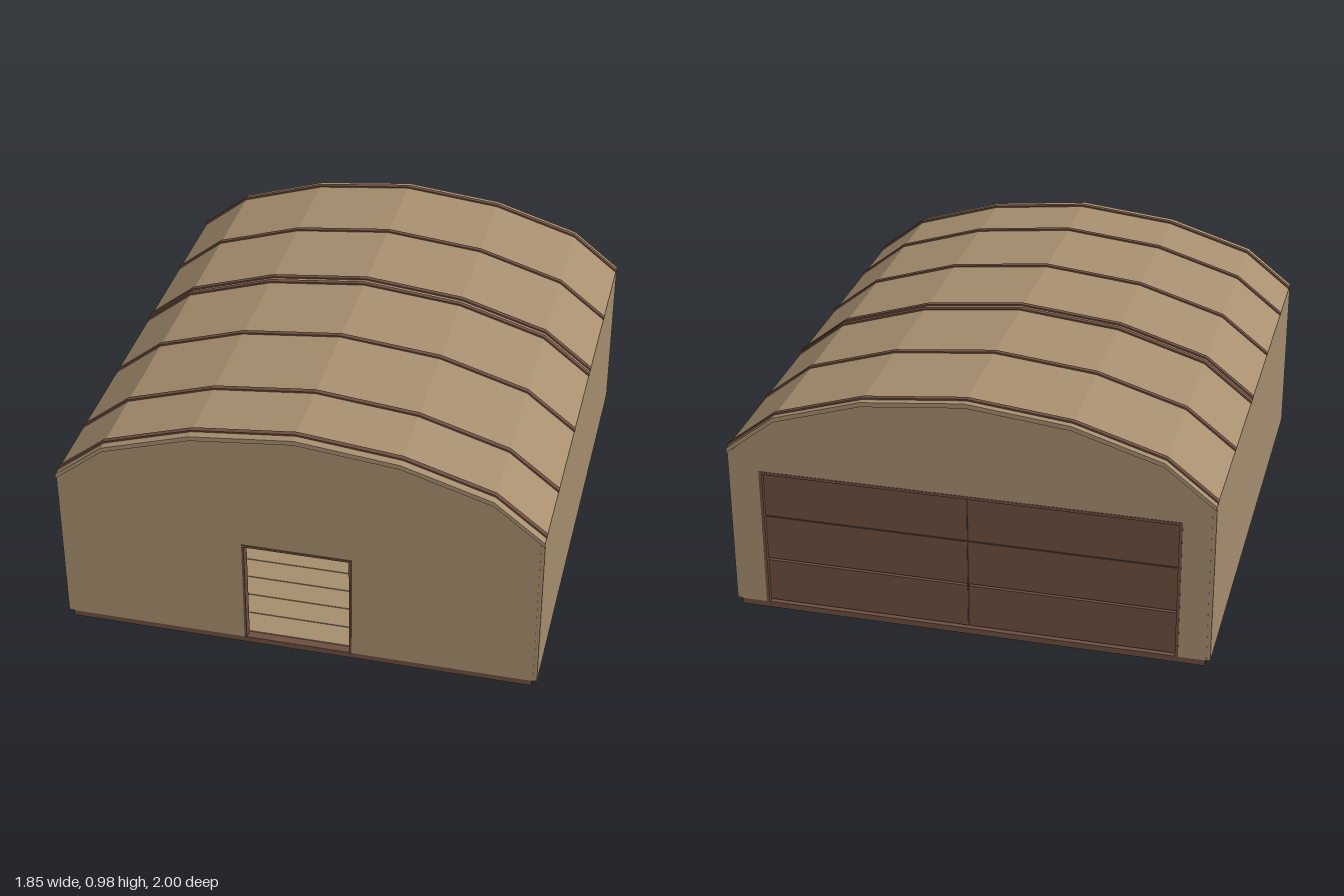
import * as THREE from 'three';

const mat = (name, color) => {
  const m = new THREE.MeshStandardMaterial({ color });
  m.name = name;
  return m;
};

// Right half of the roof curve, mirrored to give the whole arch
const half = [[0.92, 0.68], [0.73, 0.83], [0.39, 0.935], [0, 0.977]];
const arch = [...half, ...half.slice(0, 3).reverse().map(([x, y]) => [-x, y])];
const toShape = pts => new THREE.Shape(pts.map(([x, y]) => new THREE.Vector2(x, y)));

export function createModel() {
  const model = new THREE.Group();
  model.name = 'hangar';
  const tan = mat('tan cladding', 0xa89070);
  const brown = mat('brown', 0x6e4f40);
  const gold = mat('gold panel', 0xb0965f);
  const dark = mat('dark seam', 0x45342b);

  const add = (name, geo, material, x = 0, y = 0, z = 0, parent = model) => {
    const mesh = new THREE.Mesh(geo, material);
    mesh.name = name;
    mesh.position.set(x, y, z);
    parent.add(mesh);
    return mesh;
  };
  // Box given by its limits
  const box = (name, material, x0, x1, y0, y1, z0, z1, parent) =>
    add(name, new THREE.BoxGeometry(x1 - x0, y1 - y0, z1 - z0), material,
      (x0 + x1) / 2, (y0 + y1) / 2, (z0 + z1) / 2, parent);
  const extrude = (pts, depth) =>
    new THREE.ExtrudeGeometry(toShape(pts), { depth, bevelEnabled: false });
  // Arched band between two offsets of the roof curve
  const band = (out, inn, depth) => extrude([
    ...arch.map(([x, y]) => [x * (1 + out * 0.5), y + out]),
    ...arch.slice().reverse().map(([x, y]) => [x, y - inn]),
  ], depth);

  // Slab and planked floor
  box('foundation', brown, -0.9, 0.9, 0, 0.024, -0.99, 0.99);
  const floor = new THREE.Group();
  floor.name = 'floor';
  model.add(floor);
  const planks = 18, step = 1.92 / planks;
  for (let i = 0; i < planks; i++) {
    const z = -0.96 + i * step;
    box('floorPlank', tan, -0.9, 0.9, 0.022, 0.028, z, z + step - 0.004, floor);
  }

  // Side walls
  for (const s of [-1, 1])
    box('sideWall', tan, s * 0.91 - 0.01, s * 0.91 + 0.01, 0.025, 0.68, -0.99, 0.99);

  // End walls with a doorway cut up from the floor
  const endWall = (name, w, h, z) => add(name, extrude([
    [-0.905, 0.025], [-w, 0.025], [-w, h], [w, h], [w, 0.025], [0.905, 0.025],
    [0.905, 0.67], ...arch.slice(1, -1).map(([x, y]) => [x, y - 0.01]), [-0.905, 0.67],
  ], 0.03), tan, 0, 0, z);
  endWall('frontWall', 0.21, 0.47, 0.962);
  endWall('backWall', 0.8, 0.595, -0.992);

  // Door frames
  const frame = (name, w, h, t, z0, z1) => {
    const g = new THREE.Group();
    g.name = name;
    model.add(g);
    for (const s of [-1, 1])
      box('jamb', brown, s * (w - t / 2) - t / 2, s * (w - t / 2) + t / 2, 0.025, h, z0, z1, g);
    box('lintel', brown, -w + t, w - t, h - t, h, z0, z1, g);
  };
  frame('frontDoorFrame', 0.21, 0.47, 0.009, 0.955, 0.995);
  frame('backDoorFrame', 0.8, 0.595, 0.012, -0.994, -0.955);

  // Roof shell and raised ribs
  add('roof', band(0, 0.018, 2), tan, 0, 0, -1);
  for (const z of [-0.965, -0.565, -0.165, -0.125, 0.275, 0.675, 0.957])
    add('roofRib', band(0.006, 0.005, 0.02), brown, 0, 0, z - 0.01);

  // Back double door: brown outside, gold inside
  const door = new THREE.Group();
  door.name = 'backDoor';
  model.add(door);
  const faces = [brown, brown, brown, brown, gold, brown];
  for (const [y0, y1] of [[0.03, 0.205], [0.214, 0.395], [0.403, 0.583]])
    for (const s of [-1, 1]) {
      const x = s * 0.3955;
      box('doorPanel', faces, x - 0.3925, x + 0.3925, y0, y1, -0.978, -0.96, door);
    }
  box('doorRail', dark, -0.788, 0.788, 0.393, 0.405, -0.975, -0.963, door);
  box('doorSeam', dark, -0.004, 0.004, 0.03, 0.583, -0.975, -0.963, door);

  // Inner bolt strip and padlock plate
  const lock = new THREE.Group();
  lock.name = 'doorLock';
  model.add(lock);
  box('boltStrip', brown, -0.042, 0.042, 0.03, 0.205, -0.96, -0.954, lock);
  box('boltStrip', brown, -0.042, 0.042, 0.405, 0.455, -0.96, -0.954, lock);
  for (const [x, y] of [[0, 0.13], [-0.028, 0.087], [0.028, 0.087], [0, 0.046]])
    box('boltMark', tan, x - 0.014, x + 0.014, y - 0.02, y + 0.02, -0.954, -0.952, lock);
  box('lockPlate', brown, -0.088, 0.088, 0.222, 0.412, -0.96, -0.95, lock);
  box('lockBody', gold, -0.038, 0.038, 0.255, 0.325, -0.95, -0.945, lock);
  for (const s of [-1, 1])
    box('shackleSide', gold, s * 0.026 - 0.006, s * 0.026 + 0.006, 0.325, 0.365, -0.95, -0.945, lock);
  box('shackleTop', gold, -0.02, 0.02, 0.353, 0.365, -0.95, -0.945, lock);
  add('keyhole', new THREE.CircleGeometry(0.01, 12), brown, 0, 0.296, -0.944, lock);
  box('keySlot', brown, -0.004, 0.004, 0.272, 0.296, -0.945, -0.943, lock);

  return model;
}
